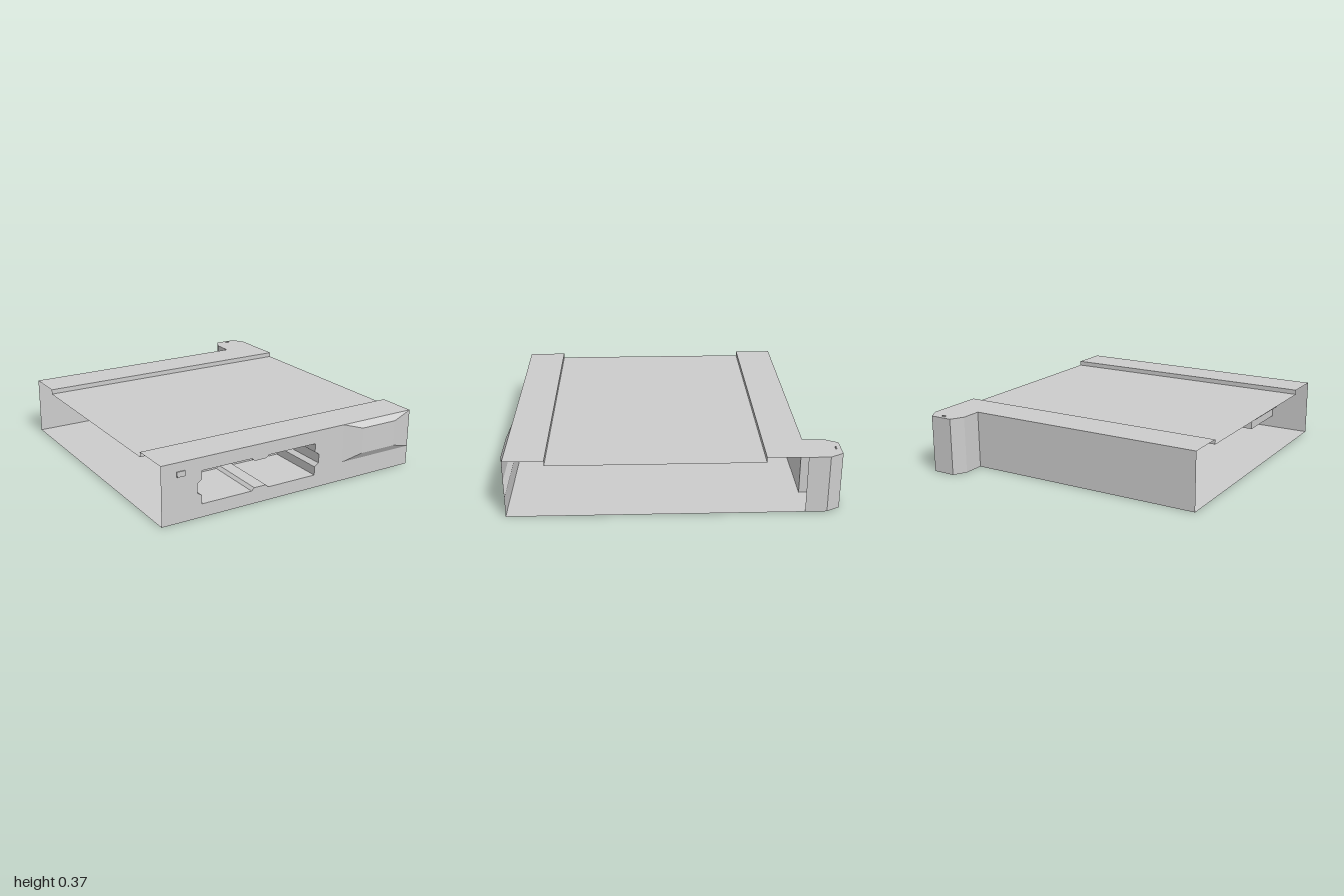
import * as THREE from 'three';

const material = new THREE.MeshStandardMaterial({ color: 0xcccccc, flatShading: true, side: THREE.DoubleSide });

const W = 0.88, H = 0.36, FRONT = 0.975, BACK = -0.79;

function mesh(name, geometry) {
  const m = new THREE.Mesh(geometry, material);
  m.name = name;
  return m;
}

const toShape = (pts) => new THREE.Shape(pts.map(([x, y]) => new THREE.Vector2(x, y)));

// Horizontal sheet from an [x, z] outline, facing up or down
function plate(name, outline, y, up) {
  const s = up ? -1 : 1;
  const geo = new THREE.ShapeGeometry(toShape(outline.map(([x, z]) => [x, s * z])));
  return mesh(name, geo.rotateX(s * Math.PI / 2).translate(0, y, 0));
}

// Strip of quads joining two matching lists of 3D points
function ribbon(name, a, b, closed = false) {
  const pos = [];
  const count = closed ? a.length : a.length - 1;
  for (let i = 0; i < count; i++) {
    const j = (i + 1) % a.length;
    pos.push(...a[i], ...a[j], ...b[j], ...a[i], ...b[j], ...b[i]);
  }
  const geo = new THREE.BufferGeometry();
  geo.setAttribute('position', new THREE.Float32BufferAttribute(pos, 3));
  geo.computeVertexNormals();
  return mesh(name, geo);
}

function box(name, w, h, d, x, y, z) {
  return mesh(name, new THREE.BoxGeometry(w, h, d).translate(x, y, z));
}

// Notched slot outline, mirrored from one quarter
function slotOutline() {
  const quarter = [[0.04, 0.083], [0.058, 0.1], [0.388, 0.1], [0.388, 0.047], [0.417, 0.028]];
  const reversed = [...quarter].reverse();
  const place = (pts, sx, sy) => pts.map(([x, y]) => [-0.237 + sx * x, 0.181 + sy * y]);
  return [...place(quarter, 1, 1), ...place(reversed, 1, -1), ...place(quarter, -1, -1), ...place(reversed, -1, 1)];
}

export function createModel() {
  const group = new THREE.Group();
  group.name = 'slottedTray';

  // Rear corner lug outline, walked from the back wall round to the side
  const lug = [[0.645, BACK], [0.645, -0.92], [0.69, -1], [0.835, -1], [W, -0.92], [W, BACK]];
  const rearEdge = [[-W, BACK], ...lug];

  // Floor and stepped top; the two sides stay open
  const stepFront = 0.735, stepBack = -0.55, low = 0.33;
  group.add(plate('floor', [[-W, FRONT], ...rearEdge, [W, FRONT]], 0, false));
  group.add(plate('rearTop', [[-W, stepBack], ...rearEdge, [W, stepBack]], H, true));
  group.add(plate('middleTop', [[-W, stepFront], [-W, stepBack], [W, stepBack], [W, stepFront]], low, true));
  group.add(plate('frontTop', [[-W, FRONT], [-W, stepFront], [W, stepFront], [W, FRONT]], H, true));
  for (const [name, z] of [['frontStep', stepFront], ['rearStep', stepBack]]) {
    group.add(ribbon(name, [[-W, low, z], [W, low, z]], [[-W, H, z], [W, H, z]]));
  }

  // Back wall running on around the lug
  group.add(ribbon('backWall', rearEdge.map(([x, z]) => [x, H, z]), rearEdge.map(([x, z]) => [x, 0, z])));

  // Front panel with the slot cut out and its corner left open for the grip
  const slot = slotOutline();
  const panel = toShape([[-W, 0], [W, 0], [W, 0.12], [0.36, 0.12], [0.36, H], [-W, H]]);
  panel.holes.push(new THREE.Path(slot.map(([x, y]) => new THREE.Vector2(x, y))));
  group.add(mesh('frontPanel', new THREE.ShapeGeometry(panel).translate(0, 0, FRONT)));

  // Slot pocket
  const slotBack = 0.59;
  group.add(ribbon('slotWalls', slot.map(([x, y]) => [x, y, FRONT]), slot.map(([x, y]) => [x, y, slotBack]), true));
  group.add(mesh('slotBack', new THREE.ShapeGeometry(toShape(slot)).translate(0, 0, slotBack)));

  // Raised bevelled grip, hollow behind
  const rect = (x0, x1, y0, y1, z) => [[x0, y0, z], [x1, y0, z], [x1, y1, z], [x0, y1, z]];
  const inner = rect(0.487, 0.742, 0.16, 0.322, 1);
  group.add(ribbon('gripBevels', rect(0.36, W, 0.12, H, FRONT), inner, true));
  group.add(mesh('gripFace', new THREE.ShapeGeometry(toShape(inner)).translate(0, 0, 1)));

  // Indicator on the front and small pip on the lug
  group.add(box('indicator', 0.05, 0.032, 0.006, -0.757, 0.291, FRONT + 0.003));
  group.add(box('lugPip', 0.026, 0.007, 0.008, 0.762, H + 0.003, -0.97));

  return group;
}
